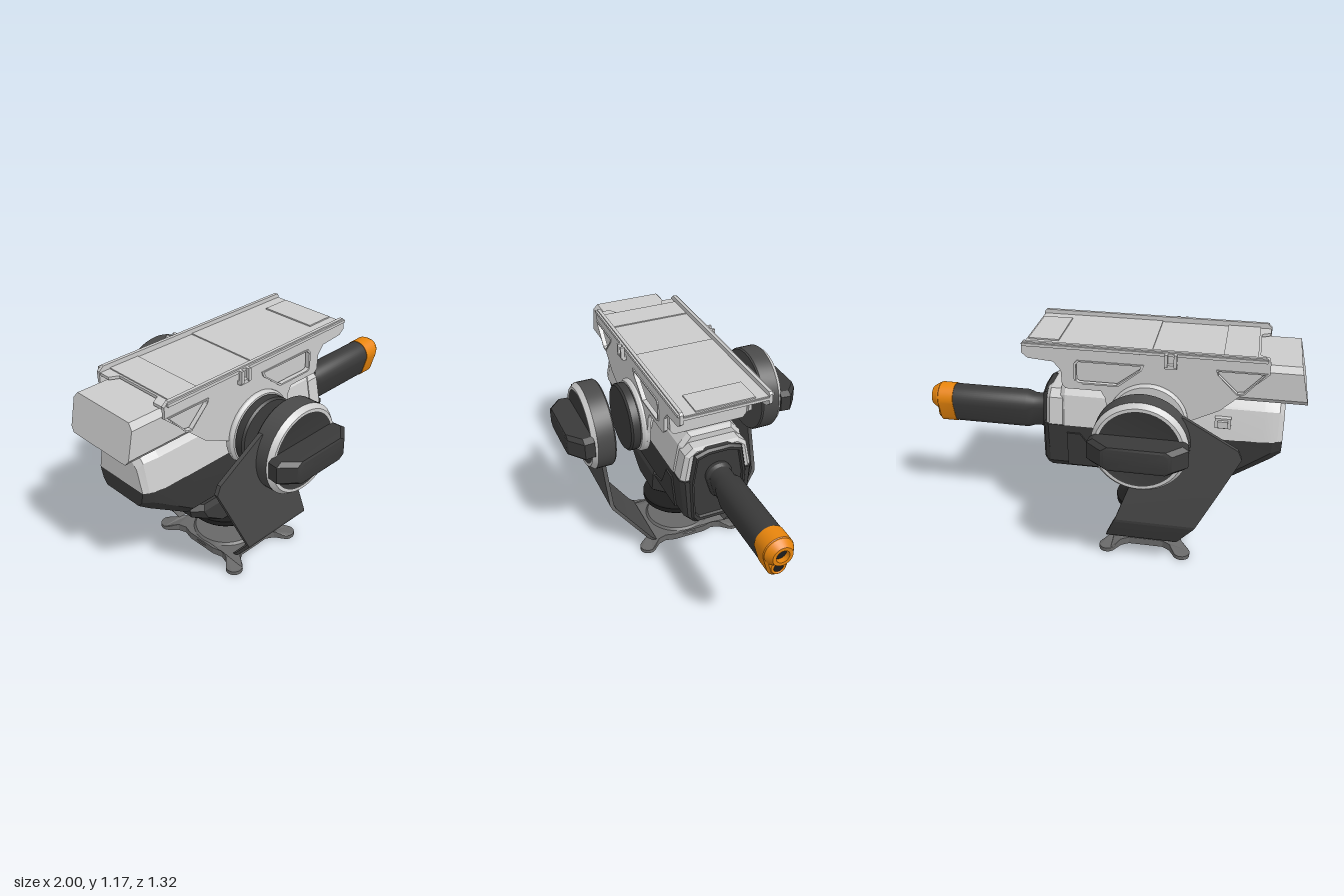
import * as THREE from 'three';
import { toCreasedNormals } from 'three/addons/utils/BufferGeometryUtils.js';

const mat = (color) => new THREE.MeshStandardMaterial({ color, side: THREE.DoubleSide });
const PX = -0.23, PY = 0.795; // pivot axis

// Skin a list of equal-length closed rings, with flat caps, facing outward
function loft(rings, crease = 0.3) {
  const tris = [], n = rings[0].length, v = rings.map(r => r.map(p => new THREE.Vector3(...p)));
  for (let i = 0; i + 1 < v.length; i++) for (let j = 0; j < n; j++) {
    const k = (j + 1) % n;
    tris.push([v[i][j], v[i][k], v[i + 1][k]], [v[i][j], v[i + 1][k], v[i + 1][j]]);
  }
  for (const end of [0, v.length - 1]) {
    const c = v[end].reduce((s, p) => s.add(p), new THREE.Vector3()).divideScalar(n);
    for (let j = 0; j < n; j++) {
      const k = (j + 1) % n;
      tris.push(end ? [c, v[end][j], v[end][k]] : [c, v[end][k], v[end][j]]);
    }
  }
  const vol = tris.reduce((s, t) => s + t[0].dot(t[1].clone().cross(t[2])), 0);
  if (vol < 0) tris.forEach(t => t.reverse());
  const geo = new THREE.BufferGeometry().setFromPoints(tris.flat());
  return toCreasedNormals(geo, crease);
}

// Loft along x; each station is a half section of [z, y], top to bottom
const hull = (stations) => loft(stations.map(([x, half]) => [
  ...half.map(([z, y]) => [x, y, z]), ...[...half].reverse().map(([z, y]) => [x, y, -z])]));

const box = (x0, x1, y0, y1, z0, z1) =>
  new THREE.BoxGeometry(x1 - x0, y1 - y0, z1 - z0).translate((x0 + x1) / 2, (y0 + y1) / 2, (z0 + z1) / 2);

// Turned part on the pivot axis, profile of [radius, z]
const turned = (profile) => toCreasedNormals(
  new THREE.LatheGeometry(profile.map(p => new THREE.Vector2(...p)), 48).rotateX(Math.PI / 2).translate(PX, PY, 0), 0.4);

function mirrorZ(source) {
  const g = source.index ? source.toNonIndexed() : source.clone();
  g.scale(1, 1, -1);
  for (const a of Object.values(g.attributes)) for (let i = 0; i < a.count; i += 3) for (let c = 0; c < a.itemSize; c++) {
    const t = a.getComponent(i + 1, c);
    a.setComponent(i + 1, c, a.getComponent(i + 2, c));
    a.setComponent(i + 2, c, t);
  }
  return g;
}

const shapeOf = (pts) => new THREE.Shape(pts.map(p => new THREE.Vector2(...p)));

// Rounded outline around two stacked bores, shrunk by d
const barrelRing = (x, d = 0) => Array.from({ length: 40 }, (_, i) => {
  const t = i / 40 * Math.PI * 2, up = Math.sin(t) > -0.28;
  const r = (up ? 0.075 : 0.05) - d;
  return [x, (up ? 0.71 : 0.62) + Math.sin(t) * r, Math.cos(t) * r];
});

const octagon = (y, x0, x1, z, c) => [[x0 + c, z], [x1 - c, z], [x1, z - c], [x1, c - z],
  [x1 - c, -z], [x0 + c, -z], [x0, c - z], [x0, z - c]].map(([x, w]) => [x, y, w]);

export function createModel() {
  const model = new THREE.Group();
  const light = mat(0xcccccc), dark = mat(0x3a3a3a), strutGrey = mat(0x4a4a4a);
  const baseGrey = mat(0x686868), black = mat(0x1c1c1c), orange = mat(0xe8850c);
  const add = (name, geo, material) => {
    const mesh = new THREE.Mesh(geo, material);
    mesh.name = name;
    model.add(mesh);
  };
  const addPair = (name, geo, material) => {
    add(name + 'Front', geo, material);
    add(name + 'Back', mirrorZ(geo), material);
  };

  // Base with four feet, thinner toward the tips
  const outline = [], leg = Math.atan2(0.3, 0.23);
  for (const a of [leg, Math.PI - leg, Math.PI + leg, -leg + 2 * Math.PI]) {
    const at = (u, w) => outline.push([Math.cos(a) * u - Math.sin(a) * w, Math.sin(a) * u + Math.cos(a) * w]);
    at(0.19, -0.1); at(0.225, -0.055); at(0.27, -0.038);
    for (let i = 0; i <= 8; i++) {
      const t = (i / 8 - 0.5) * Math.PI;
      at(0.333 + 0.045 * Math.cos(t), 0.045 * Math.sin(t));
    }
    at(0.27, 0.038); at(0.225, 0.055); at(0.19, 0.1);
  }
  const foot = new THREE.ExtrudeGeometry(shapeOf(outline), { depth: 0.04, bevelEnabled: false }).rotateX(-Math.PI / 2);
  const fp = foot.attributes.position;
  for (let i = 0; i < fp.count; i++)
    if (fp.getY(i) > 0.01 && Math.hypot(fp.getX(i), fp.getZ(i)) > 0.3) fp.setY(i, 0.022);
  foot.computeVertexNormals();
  add('baseFeet', foot.translate(PX, 0, 0), baseGrey);
  add('baseDisc', new THREE.CylinderGeometry(0.175, 0.2, 0.03, 48).translate(PX, 0.038, 0), baseGrey);

  // Floating dish and neck under the body
  const dish = [[0, 0.17], [0.18, 0.17], [0.195, 0.185], [0.195, 0.212], [0.165, 0.195], [0, 0.195]];
  add('dish', toCreasedNormals(new THREE.LatheGeometry(dish.map(p => new THREE.Vector2(...p)), 48).translate(PX, 0, 0), 0.4), black);
  add('neck', loft([octagon(0.24, -0.42, -0.17, 0.135, 0.06), octagon(0.27, -0.47, -0.15, 0.16, 0.06),
    octagon(0.34, -0.57, -0.135, 0.16, 0.06), octagon(0.39, -0.585, -0.135, 0.16, 0.05),
    octagon(0.42, -0.57, -0.15, 0.145, 0.05)]), dark);
  add('neckKnob', new THREE.CylinderGeometry(0.032, 0.032, 0.06, 20).rotateX(Math.PI / 2).translate(-0.3, 0.35, -0.185), dark);

  // Bent struts carrying the outer hubs: [y, left x, right x, z]
  const rows = [[0.06, -0.395, -0.016, 0.225], [0.085, -0.405, -0.018, 0.255], [0.3, -0.5, -0.09, 0.432],
    [0.32, -0.51, -0.1, 0.44], [0.55, -0.62, -0.18, 0.446], [0.74, -0.71, -0.2, 0.445],
    [0.785, -0.69, -0.2, 0.445], [0.935, -0.43, -0.2, 0.445]];
  addPair('strut', loft(rows.map(([y, l, r, z]) =>
    [[l, y, z - 0.011], [r, y, z - 0.011], [r, y, z + 0.011], [l, y, z + 0.011]])), strutGrey);

  // Outer hubs with a pale rim and grip bar
  addPair('hub', turned([[0, 0.42], [0.228, 0.42], [0.235, 0.428], [0.235, 0.52]]), strutGrey);
  addPair('hubRim', turned([[0.235, 0.52], [0.215, 0.545], [0.2, 0.545]]), light);
  addPair('hubFace', turned([[0.205, 0.545], [0.19, 0.54], [0, 0.54]]), dark);
  const grip = (z, x0, x1, y0, y1) => [[x0, y0 + 0.02, z], [x0 + 0.03, y0, z], [x1 - 0.03, y0, z], [x1, y0 + 0.02, z],
    [x1, y1 - 0.02, z], [x1 - 0.03, y1, z], [x0 + 0.03, y1, z], [x0, y1 - 0.02, z]];
  addPair('gripBar', loft([grip(0.535, -0.465, 0.005, 0.733, 0.86), grip(0.59, -0.47, 0.01, 0.733, 0.86),
    grip(0.655, -0.4, -0.07, 0.735, 0.857), grip(0.66, -0.385, -0.085, 0.745, 0.847)]), dark);

  // Body: pale upper shell, dark lower hull
  const top = [[0.12, 0.918], [0.17, 0.86], [0.2, 0.7]], low = [[0.2, 0.7], [0.178, 0.47], [0.13, 0.42]];
  add('upperShell', hull([[-0.9, [[0.09, 0.86], [0.13, 0.82], [0.16, 0.7]]], [-0.875, [[0.1, 0.905], [0.15, 0.85], [0.18, 0.7]]],
    [-0.8, top], [0.215, top], [0.24, [[0.11, 0.905], [0.155, 0.85], [0.18, 0.7]]]]), light);
  add('lowerHull', hull([[-0.9, [[0.16, 0.7], [0.145, 0.64], [0.12, 0.61]]], [-0.85, [[0.185, 0.7], [0.17, 0.63], [0.13, 0.575]]],
    [-0.62, low], [0.24, low]]), dark);
  const panel = shapeOf([[0.2, 0.66], [0.13, 0.66], [0.02, 0.5], [-0.1, 0.46], [0.2, 0.46]]);
  const panelGeo = new THREE.ExtrudeGeometry(panel, { depth: 0.012, bevelEnabled: false });
  addPair('hullPanel', panelGeo.translate(0, -0.46, 0).rotateX(0.095).translate(0, 0.46, 0.174), dark);
  add('sideButton', box(-0.64, -0.56, 0.765, 0.82, -0.205, -0.17), light);
  add('sideButtonCap', box(-0.625, -0.575, 0.775, 0.81, -0.222, -0.2), light);

  // Front collar and face plate
  const collar = [[0.125, 0.875], [0.168, 0.84], [0.196, 0.7]];
  add('collarTop', hull([[0.225, collar], [0.295, collar], [0.315, [[0.11, 0.865], [0.15, 0.835], [0.175, 0.7]]]]), light);
  add('collarBottom', hull([[0.225, low], [0.3, low], [0.325, [[0.18, 0.7], [0.165, 0.475], [0.125, 0.43]]]]), dark);
  const face = [[0.06, 0.872], [0.128, 0.85], [0.155, 0.69], [0.145, 0.465], [0.12, 0.432]];
  const inset = (k) => face.map(([z, y]) => [z * k, 0.65 + (y - 0.65) * k]);
  add('facePlate', hull([[0.28, face], [0.328, face], [0.34, inset(0.95)], [0.338, inset(0.88)], [0.325, inset(0.85)]]), dark);

  // Twin-bore barrel and orange muzzle
  add('barrel', loft([barrelRing(0.31, 0.004), barrelRing(0.345, 0.004), barrelRing(0.36, 0.014), barrelRing(0.42, 0.014),
    barrelRing(0.46), barrelRing(0.88)], 0.5), dark);
  add('muzzle', loft([barrelRing(0.872, -0.003), barrelRing(0.955, -0.003), barrelRing(0.968, 0.01)], 0.5), orange);
  const nozzle = [[0.074, 0.94], [0.074, 0.965], [0.052, 1], [0.034, 1], [0.034, 0.97]];
  const bore = (r, y, x) => new THREE.CircleGeometry(r, 24).rotateY(Math.PI / 2).translate(x, y, 0);
  add('nozzle', toCreasedNormals(new THREE.LatheGeometry(nozzle.map(p => new THREE.Vector2(...p)), 32)
    .rotateZ(-Math.PI / 2).translate(0, 0.71, 0), 0.4), orange);
  add('upperBore', bore(0.035, 0.71, 0.972), black);
  add('lowerBoreRim', new THREE.TorusGeometry(0.032, 0.007, 10, 24).rotateY(Math.PI / 2).translate(0.968, 0.621, 0), orange);
  add('lowerBore', bore(0.03, 0.621, 0.97), black);

  // Long box under the canopy, with a raked rear end
  const long = [[0.185, 1.12], [0.21, 1.09], [0.21, 0.95], [0.19, 0.925]];
  const ends = long.map(([z, y]) => [-1 + (y - 0.925) * 0.23, y, z]);
  const ring = [...ends, ...[...ends].reverse().map(([x, y, z]) => [x, y, -z])];
  add('longBox', loft([ring, ring.map(([, y, z]) => [0.21, y, z])]), light);

  // Canopy side plates wrapping round the pivot
  const side = new THREE.Shape();
  side.moveTo(-0.78, 1.172);
  for (const p of [[-0.805, 1.15], [-0.805, 1.09], [-0.58, 0.88], [-0.42, 0.8]]) side.lineTo(...p);
  side.absarc(PX, PY, 0.2, Math.PI, 2 * Math.PI, false);
  for (const p of [[-0.01, 0.9], [0.01, 0.935], [0.19, 0.935], [0.208, 0.955], [0.212, 1.03], [0.25, 1.075],
    [0.38, 1.085], [0.41, 1.11], [0.41, 1.16], [0.4, 1.172]]) side.lineTo(...p);
  const windows = [[[-0.785, 1.09], [-0.56, 1.09], [-0.565, 1.07], [-0.66, 0.98], [-0.69, 0.985]],
    [[-0.19, 1.085], [0.12, 1.085], [0.135, 1.07], [0.135, 0.985], [0.12, 0.975], [-0.07, 0.975], [-0.18, 1.06]]];
  windows.forEach(w => side.holes.push(shapeOf(w)));
  addPair('canopySide', new THREE.ExtrudeGeometry(side, { depth: 0.018, bevelEnabled: false, curveSegments: 24 }).translate(0, 0, 0.222), light);
  // Raised frames round the windows
  for (const w of windows) {
    const cx = w.reduce((s, p) => s + p[0], 0) / w.length, cy = w.reduce((s, p) => s + p[1], 0) / w.length;
    const frame = shapeOf(w.map(([x, y]) => [cx + (x - cx) * 1.08, cy + (y - cy) * 1.14]));
    frame.holes.push(shapeOf(w));
    addPair('windowFrame', new THREE.ExtrudeGeometry(frame, { depth: 0.006, bevelEnabled: false }).translate(0, 0, 0.24), light);
  }
  addPair('canopyRail', box(-0.79, 0.405, 1.15, 1.165, 0.235, 0.25), light);
  addPair('clipBase', box(-0.365, -0.305, 1.09, 1.11, 0.24, 0.262), light);
  for (const x of [-0.365, -0.32]) addPair('clipHook', box(x, x + 0.015, 1.1, 1.165, 0.25, 0.27), light);

  // Canopy roof with a notched rear edge and raised panels
  const roof = shapeOf([[0.41, -0.23], [0.41, 0.23], [-0.8, 0.23], [-0.8, 0.16], [-0.755, 0.135],
    [-0.755, -0.135], [-0.8, -0.16], [-0.8, -0.23]]);
  add('roof', new THREE.ExtrudeGeometry(roof, { depth: 0.015, bevelEnabled: false }).rotateX(-Math.PI / 2).translate(0, 1.13, 0), light);
  add('roofPanelRear', box(-0.745, -0.58, 1.14, 1.151, -0.22, 0.22), light);
  add('roofPanelFront', box(-0.235, 0.405, 1.14, 1.151, -0.22, 0.22), light);
  add('roofTag', box(0.24, 0.395, 1.148, 1.158, -0.155, 0.155), light);

  // Inner pivot: axle, pale collars, dark drum on the front side only
  add('axle', turned([[0, -0.23], [0.125, -0.23], [0.125, 0.23], [0, 0.23]]), light);
  addPair('pivotCollar', turned([[0, 0.222], [0.2, 0.222], [0.2, 0.25], [0.19, 0.265], [0, 0.265]]), light);
  add('pivotDrum', turned([[0, 0.26], [0.17, 0.26], [0.185, 0.27], [0.185, 0.31], [0.175, 0.32], [0, 0.32]]), dark);
  add('pivotStop', box(-0.4, -0.3, 0.63, 0.735, -0.305, -0.26), light);
  return model;
}
